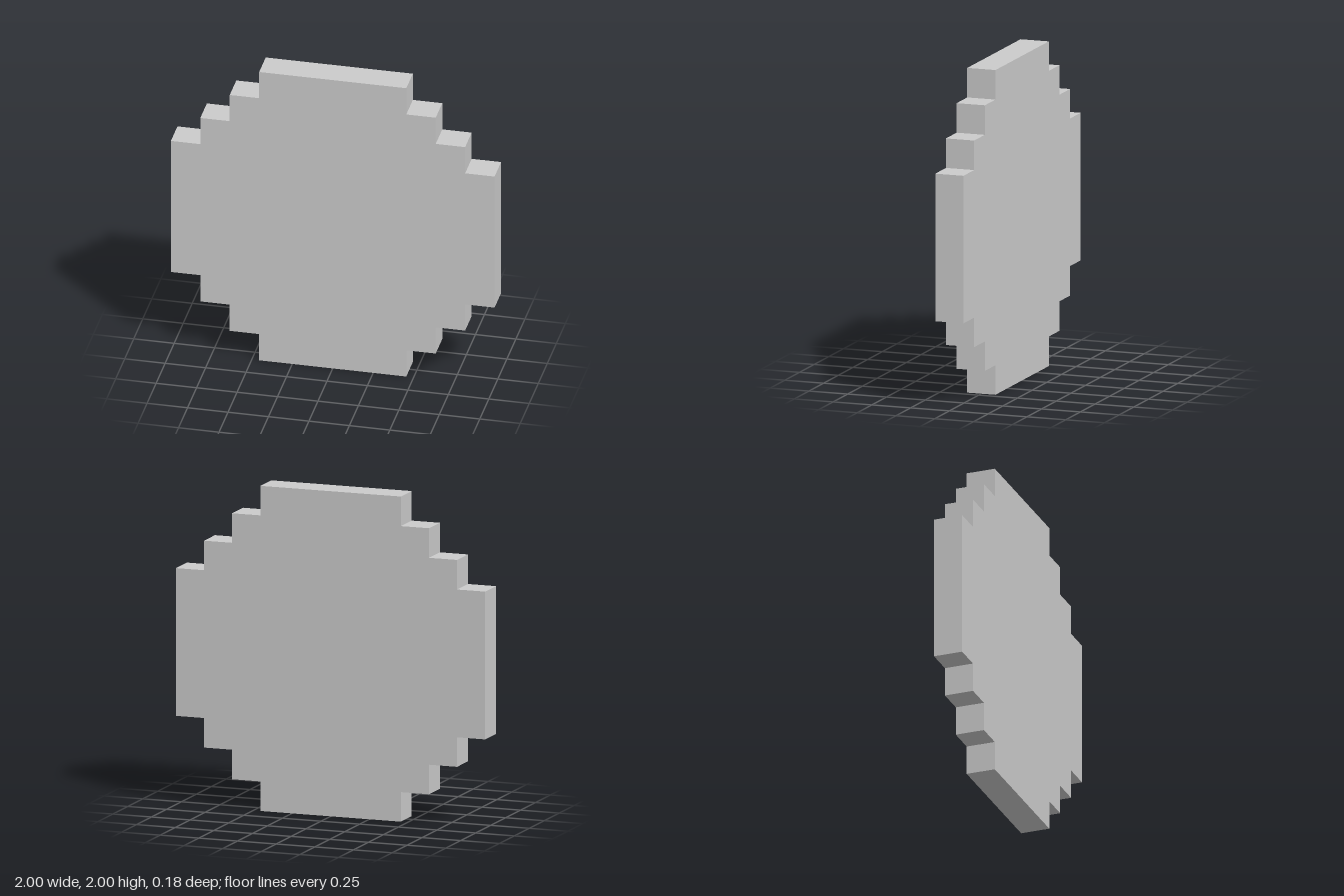
import * as THREE from 'three';

const UNIT = 2 / 11; // one square step of the disc

// Stepped corner, counter-clockwise from the right side to the top, in steps
const CORNER = [[5.5, 2.5], [4.5, 2.5], [4.5, 3.5], [3.5, 3.5], [3.5, 4.5], [2.5, 4.5], [2.5, 5.5]];

export function createModel() {
  const group = new THREE.Group();
  group.name = 'steppedDisc';

  // Repeat the corner in four quarter turns to close the outline
  const outline = [];
  for (let i = 0; i < 4; i++) {
    for (const [x, y] of CORNER) {
      const [px, py] = [[x, y], [-y, x], [-x, -y], [y, -x]][i];
      outline.push(new THREE.Vector2(px * UNIT, py * UNIT));
    }
  }

  // Flat disc, one step thick, standing on its lower edge
  const geometry = new THREE.ExtrudeGeometry(new THREE.Shape(outline), { depth: UNIT, bevelEnabled: false });
  geometry.translate(0, 1, -UNIT / 2);
  const disc = new THREE.Mesh(geometry, new THREE.MeshStandardMaterial({ color: 0xcccccc, flatShading: true }));
  disc.name = 'disc';
  group.add(disc);

  return group;
}
